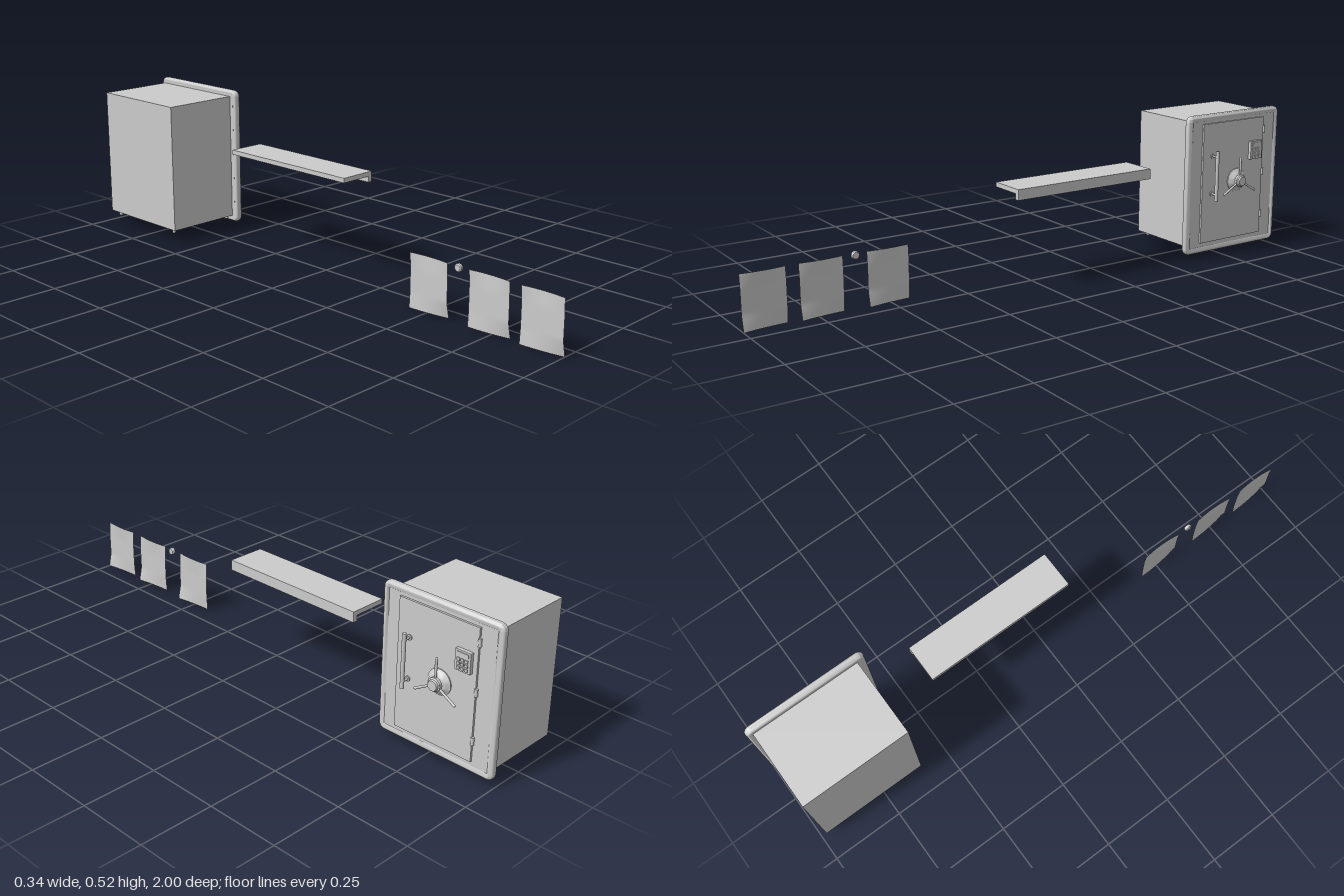
import * as THREE from 'three';
import { toCreasedNormals } from 'three/addons/utils/BufferGeometryUtils.js';

const grey = new THREE.MeshStandardMaterial({ color: 0xcccccc });
const thin = new THREE.MeshStandardMaterial({ color: 0xcccccc, side: THREE.DoubleSide });

function add(parent, name, geometry, x = 0, y = 0, z = 0, material = grey) {
  const mesh = new THREE.Mesh(geometry, material);
  mesh.name = name;
  mesh.position.set(x, y, z);
  parent.add(mesh);
  return mesh;
}

// Box given by its limits on each axis
function block(parent, name, x0, x1, y0, y1, z0, z1) {
  return add(parent, name, new THREE.BoxGeometry(x1 - x0, y1 - y0, z1 - z0),
    (x0 + x1) / 2, (y0 + y1) / 2, (z0 + z1) / 2);
}

function roundedRect(path, w, h, r) {
  const a = w / 2 - r, b = h / 2 - r;
  path.absarc(a, b, r, 0, Math.PI / 2);
  path.absarc(-a, b, r, Math.PI / 2, Math.PI);
  path.absarc(-a, -b, r, Math.PI, Math.PI * 1.5);
  path.absarc(a, -b, r, Math.PI * 1.5, Math.PI * 2);
  path.closePath();
  return path;
}

// Profile of [radius, height] turned around the x axis
function turned(points, segments = 32) {
  const lathe = new THREE.LatheGeometry(points.map(p => new THREE.Vector2(...p)), segments);
  return toCreasedNormals(lathe.rotateZ(-Math.PI / 2), 0.5);
}

function createSafe() {
  const safe = new THREE.Group();
  safe.name = 'safe';
  const zc = -0.785, yc = 0.272;
  block(safe, 'body', -0.17, 0.11, 0.045, 0.5, -0.98, -0.6);

  // Rounded rim around the door
  const rim = roundedRect(new THREE.Shape(), 0.406, 0.478, 0.012);
  rim.holes.push(roundedRect(new THREE.Path(), 0.402, 0.474, 0.01));
  const rimGeometry = new THREE.ExtrudeGeometry(rim, {
    depth: 0.004, bevelSize: 0.011, bevelThickness: 0.011, bevelSegments: 5, curveSegments: 6,
  }).rotateY(Math.PI / 2);
  add(safe, 'rim', toCreasedNormals(rimGeometry, 0.7), 0.116, yc, zc);

  // Front plate and door slab
  block(safe, 'frontPlate', 0.105, 0.127, 0.035, 0.509, -0.985, -0.585);
  block(safe, 'door', 0.12, 0.134, 0.06, 0.49, -0.922, -0.637);

  // Hinges
  for (const y of [0.445, 0.288, 0.13]) {
    add(safe, 'hinge', new THREE.CylinderGeometry(0.0055, 0.0055, 0.025, 16), 0.133, y, -0.924);
  }
  // Feet
  for (const x of [-0.15, 0.1]) for (const z of [-0.63, -0.95]) {
    add(safe, 'foot', new THREE.CylinderGeometry(0.007, 0.007, 0.018, 16), x, 0.038, z);
  }

  // Pull handle on two posts
  const handle = new THREE.Group();
  handle.name = 'pullHandle';
  safe.add(handle);
  add(handle, 'grip', new THREE.CylinderGeometry(0.0065, 0.0065, 0.18, 20), 0.16, 0.305, -0.681);
  for (const y of [0.237, 0.373]) {
    add(handle, 'post', turned([[0.009, 0], [0.009, 0.004], [0.004, 0.004], [0.004, 0.026]], 16), 0.134, y, -0.681);
  }

  // Turning wheel with three spokes
  const wheel = new THREE.Group();
  wheel.name = 'wheel';
  wheel.position.set(0.134, 0.273, -0.797);
  safe.add(wheel);
  add(wheel, 'hub', turned([[0.042, 0], [0.042, 0.003], [0.036, 0.006], [0.03, 0.014], [0.022, 0.018],
    [0.022, 0.027], [0.018, 0.03], [0.016, 0.036], [0, 0.036]]));
  for (let i = 0; i < 3; i++) {
    const arm = new THREE.Group();
    arm.name = 'spoke';
    arm.rotation.x = i * Math.PI * 2 / 3;
    wheel.add(arm);
    add(arm, 'rod', new THREE.CylinderGeometry(0.0045, 0.0035, 0.07, 12), 0.021, 0.047, 0);
    add(arm, 'tip', new THREE.SphereGeometry(0.0045, 12, 8), 0.021, 0.082, 0);
  }

  // Keypad
  const pad = new THREE.Group();
  pad.name = 'keypad';
  safe.add(pad);
  block(pad, 'housing', 0.134, 0.146, 0.342, 0.408, -0.907, -0.853);
  block(pad, 'display', 0.146, 0.148, 0.389, 0.402, -0.9, -0.86);
  for (let row = 0; row < 3; row++) for (let col = 0; col < 3; col++) {
    add(pad, 'key', new THREE.BoxGeometry(0.004, 0.009, 0.01), 0.147, 0.352 + row * 0.0135, -0.894 + col * 0.014);
  }
  return safe;
}

// Curved sheet of paper, bowed along z, with its lower edge curling out
function sheetGeometry() {
  const geometry = new THREE.PlaneGeometry(0.148, 0.182, 14, 18).rotateY(Math.PI / 2);
  const p = geometry.attributes.position;
  for (let i = 0; i < p.count; i++) {
    const v = (p.getY(i) + 0.091) / 0.182;   // 0 bottom, 1 top
    const u = p.getZ(i) / 0.074;             // -1 to 1, back to front
    const low = Math.max(0, 1 - v / 0.28);
    const high = Math.max(0, (v - 0.72) / 0.28);
    const curl = low * (-0.003 + 0.014 * ((u + 1) / 2) ** 2);
    p.setX(i, curl + high * 0.003 * (1 - 2 * u * u));
  }
  geometry.computeVertexNormals();
  return geometry;
}

export function createModel() {
  const model = new THREE.Group();
  model.name = 'safeAndAccessories';
  model.add(createSafe());

  // Shelf with a front lip
  const section = new THREE.Shape([[-0.035, 0.336], [0.081, 0.336], [0.081, 0.316], [0.097, 0.316],
    [0.097, 0.352], [-0.035, 0.352]].map(p => new THREE.Vector2(...p)));
  add(model, 'shelf', new THREE.ExtrudeGeometry(section, { depth: 0.546, bevelEnabled: false }), 0, 0, -0.43);

  // Three sheets of paper
  for (const z of [0.926, 0.736, 0.505]) {
    add(model, 'paperSheet', sheetGeometry(), -0.065, 0.092, z, thin);
  }

  // Round pin between the sheets
  add(model, 'pin', turned([[0, 0], [0.01, 0], [0.0135, 0.003], [0.0135, 0.01], [0.011, 0.014], [0, 0.015]], 20),
    -0.072, 0.178, 0.62);
  return model;
}
